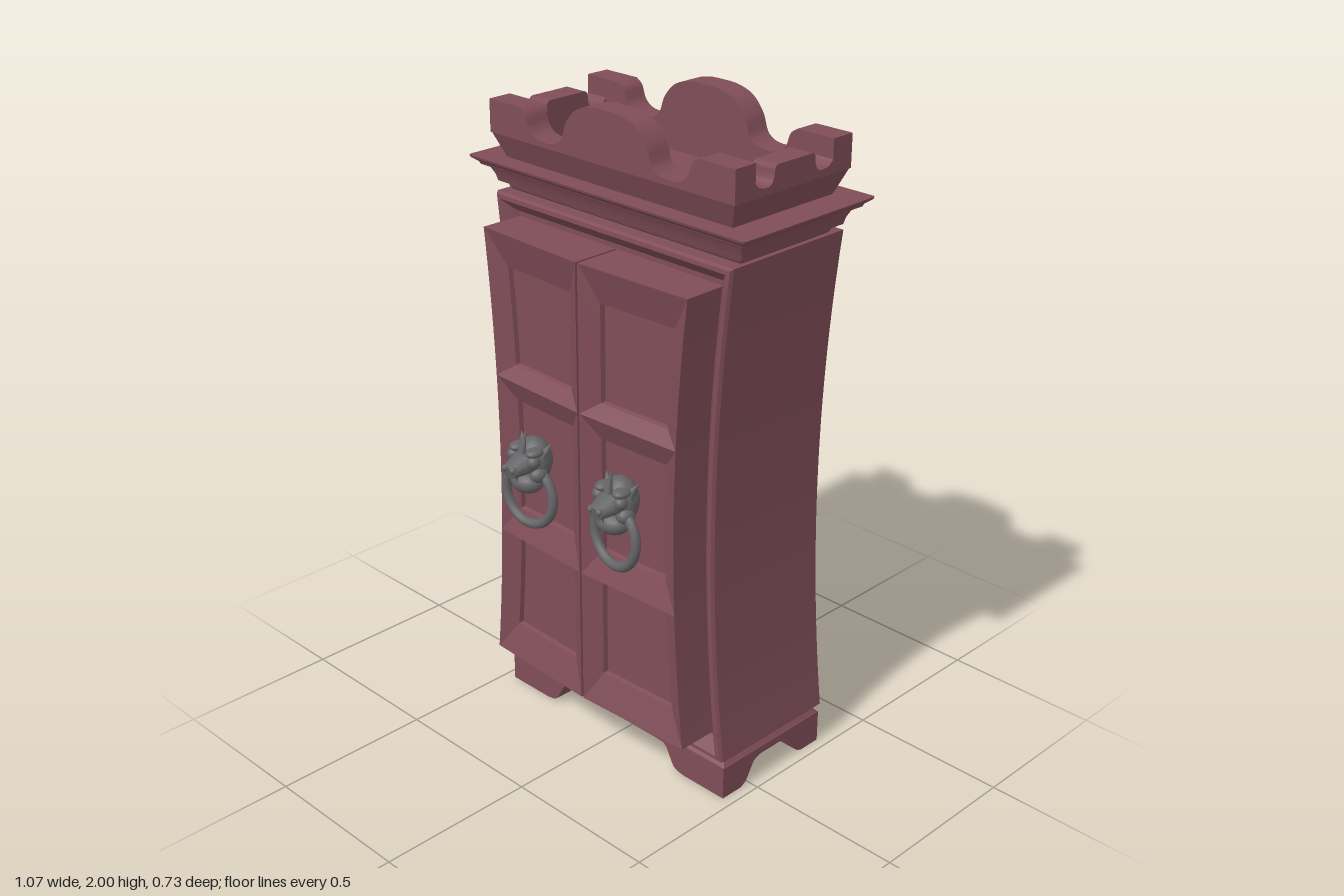
import * as THREE from 'three';
import { toCreasedNormals } from 'three/addons/utils/BufferGeometryUtils.js';

const wood = new THREE.MeshStandardMaterial({ color: 0x804d58 });
const iron = new THREE.MeshStandardMaterial({ color: 0x646466 });
const ZC = -0.1; // depth centre of the carcass

function add(parent, name, geo, mat = wood) {
  const mesh = new THREE.Mesh(geo, mat);
  mesh.name = name;
  parent.add(mesh);
  return mesh;
}

// Skin closed rings of equal length; each ring runs along one side and back along the other
function loft(rings, { start = false, end = false } = {}) {
  const pos = [];
  const quad = (a, b, c, d) => pos.push(...a, ...b, ...c, ...a, ...c, ...d);
  const m = rings[0].length;
  for (let k = 0; k < rings.length - 1; k++)
    for (let i = 0; i < m; i++) {
      const j = (i + 1) % m;
      quad(rings[k][i], rings[k][j], rings[k + 1][j], rings[k + 1][i]);
    }
  for (let i = 0; i < m / 2 - 1; i++) {
    const a = rings.at(-1), b = rings[0];
    if (end) quad(a[i], a[i + 1], a[m - 2 - i], a[m - 1 - i]);
    if (start) quad(b[m - 1 - i], b[m - 2 - i], b[i + 1], b[i]);
  }
  const geo = new THREE.BufferGeometry();
  geo.setAttribute('position', new THREE.Float32BufferAttribute(pos, 3));
  geo.computeVertexNormals();
  return toCreasedNormals(geo, 0.4);
}

// Horizontal rounded rectangle
function rectRing(hx, hz, y, r = 0.003) {
  const half = [];
  for (const s of [0, 1])
    for (let i = 0; i <= 4; i++) {
      const t = ((i / 4 + s) * Math.PI) / 2;
      half.push([hx - r + r * Math.sin(t), y, ZC + (s ? -1 : 1) * (hz - r) + r * Math.cos(t)]);
    }
  return [...half, ...half.map(([x, yy, z]) => [-x, yy, z]).reverse()];
}

// Upright outline between two side curves
function uprightRing(y0, y1, left, right, z, n = 12) {
  const ys = Array.from({ length: n + 1 }, (_, i) => y0 + ((y1 - y0) * i) / n);
  return [
    ...ys.map((y) => [right(y), y, z(right(y))]),
    ...ys.map((y) => [left(y), y, z(left(y))]).reverse(),
  ];
}

// Waisted half-width of the cabinet
const waist = (y) => 0.415 + 0.05 * ((y - 0.9) / 0.77) ** 2;

// Board with one straight edge and a mirrored, curved edge
function scallop(hw, yStraight, yEdge, curve, depth) {
  const pts = [...curve, ...curve.slice(0, -1).reverse().map(([x, y]) => [-x, y])];
  const spline = new THREE.SplineCurve(pts.map((p) => new THREE.Vector2(...p)));
  const shape = new THREE.Shape([
    new THREE.Vector2(-hw, yEdge), new THREE.Vector2(-hw, yStraight),
    new THREE.Vector2(hw, yStraight), new THREE.Vector2(hw, yEdge),
    ...spline.getPoints(64),
  ]);
  const geo = new THREE.ExtrudeGeometry(shape, { depth, bevelEnabled: false });
  geo.translate(0, 0, -depth);
  return toCreasedNormals(geo, 0.5);
}

// Four boards round a rectangle, outer faces flush with hx and hz
function surround(parent, name, hx, hz, front, side) {
  for (const s of [0, 1]) {
    const f = add(parent, name + (s ? 'Back' : 'Front'), front);
    f.rotation.y = s * Math.PI;
    f.position.z = ZC + (s ? -hz : hz);
    const e = add(parent, name + (s ? 'Right' : 'Left'), side);
    e.rotation.y = ((s ? -1 : 1) * Math.PI) / 2;
    e.position.set(s ? -hx : hx, 0, ZC);
  }
}

function makeDoor() {
  const door = new THREE.Group();
  const edge = (y) => waist(y) - 0.053;
  const front = (d) => (x) => 0.245 - 0.042 * x - d;
  const seam = () => 0.004;
  add(door, 'doorEdge', loft([
    uprightRing(0.2, 1.6, seam, edge, () => 0.07, 36),
    uprightRing(0.2, 1.6, seam, edge, front(0), 36),
  ]));
  // Each cell: ridge bottom and top, panel bottom and top
  for (const [y0, y1, p0, p1] of [[0.2, 0.635, 0.3, 0.615], [0.635, 1.15, 0.72, 1.08], [1.15, 1.6, 1.19, 1.49]]) {
    const inner = (g, d) => uprightRing(p0 + g, p1 - g, () => 0.06 + g, (y) => edge(y) - 0.058 - g, front(d));
    add(door, 'doorPanel', loft([
      uprightRing(y0, y1, seam, edge, front(0)),
      inner(0, 0.03), inner(0.003, 0.045),
    ], { end: true }));
  }
  return door;
}

function makeHandle() {
  const handle = new THREE.Group();
  handle.position.set(0.18, 0.93, 0.235);
  const ball = (name, p, s) => {
    const b = add(handle, name, new THREE.SphereGeometry(1, 16, 12), iron);
    b.position.set(...p);
    b.scale.set(...s);
  };
  const cone = (name, p, r, h, rx, rz = 0) => {
    const c = add(handle, name, new THREE.ConeGeometry(r, h, 8), iron);
    c.position.set(...p);
    c.rotation.set(rx, 0, rz);
  };
  // Beast head
  ball('skull', [0, 0.02, 0.02], [0.06, 0.07, 0.05]);
  ball('lowerJaw', [0, -0.042, 0.05], [0.055, 0.035, 0.045]);
  const snout = add(handle, 'snout', new THREE.CylinderGeometry(0.028, 0.058, 0.1, 12), iron);
  snout.position.set(0, 0.018, 0.073);
  snout.rotation.x = Math.PI / 2 + 0.2;
  snout.scale.z = 0.72;
  cone('crest', [0, 0.09, 0.06], 0.014, 0.075, -0.25);
  for (const s of [-1, 1]) {
    ball('eye', [s * 0.043, 0.035, 0.062], [0.02, 0.02, 0.02]);
    ball('brow', [s * 0.035, 0.06, 0.05], [0.024, 0.014, 0.03]);
    ball('nostril', [s * 0.016, 0.018, 0.118], [0.011, 0.011, 0.011]);
    ball('cheek', [s * 0.04, -0.012, 0.04], [0.026, 0.025, 0.03]);
    cone('ear', [s * 0.053, 0.065, 0.018], 0.018, 0.05, -0.3, -s * 0.5);
    cone('fang', [s * 0.02, -0.008, 0.108], 0.006, 0.025, Math.PI);
  }
  // Pull ring through the mouth
  const ring = add(handle, 'pullRing', new THREE.TorusGeometry(0.092, 0.015, 12, 40), iron);
  ring.position.set(0, -0.09, 0.042);
  ring.rotation.set(-0.06, -0.1, 0);
  return handle;
}

export function createModel() {
  const model = new THREE.Group();
  model.name = 'cabinet';

  // Waisted carcass with a raised, sloping front frame
  const body = (g, z) => uprightRing(0.13 + g, 1.67 - g, (y) => g - waist(y), (y) => waist(y) - g, () => z, 24);
  add(model, 'carcass', loft(
    [body(0, -0.322), body(0, 0.118), body(0.006, 0.128), body(0.018, 0.13), body(0.045, 0.105), body(0.055, 0.09)],
    { start: true, end: true }));

  // Footed plinth
  add(model, 'plinthRail', loft([
    rectRing(0.385, 0.135, 0.13, 0.06), rectRing(0.385, 0.135, 0.1, 0.06),
    rectRing(0.465, 0.215, 0.1), rectRing(0.445, 0.195, 0.132),
  ]));
  surround(model, 'plinth', 0.465, 0.215,
    scallop(0.465, 0.105, 0, [[0.3, 0], [0.265, 0.01], [0.245, 0.04], [0.225, 0.072], [0.19, 0.08], [0, 0.08]], 0.08),
    scallop(0.215, 0.105, 0, [[0.14, 0], [0.115, 0.012], [0.095, 0.045], [0.075, 0.072], [0.045, 0.08], [0, 0.08]], 0.08));

  // Stepped cornice
  const steps = [[0.445, 1.665], [0.455, 1.675], [0.46, 1.69], [0.48, 1.695], [0.485, 1.715],
    [0.495, 1.735], [0.515, 1.745], [0.518, 1.752], [0.535, 1.765], [0.537, 1.772]];
  add(model, 'cornice', loft(steps.map(([x, y]) => rectRing(x, x - 0.273, y, 0.008)), { start: true, end: true }));

  // Scalloped crown tray
  add(model, 'crownTray', loft([
    rectRing(0.44, 0.2, 1.77), rectRing(0.473, 0.231, 1.85),
    rectRing(0.397, 0.155, 1.85, 0.06), rectRing(0.397, 0.155, 1.785, 0.06),
  ], { end: true }));
  surround(model, 'crown', 0.473, 0.231,
    scallop(0.473, 1.845, 1.942, [[0.345, 1.942], [0.322, 1.925], [0.305, 1.885], [0.27, 1.863], [0.21, 1.863],
      [0.175, 1.885], [0.155, 1.935], [0.115, 1.978], [0.06, 1.997], [0, 2]], 0.077),
    scallop(0.231, 1.845, 1.942, [[0.17, 1.942], [0.162, 1.9], [0.14, 1.872], [0.1, 1.867], [0.083, 1.885],
      [0.076, 1.917], [0.04, 1.92], [0, 1.92]], 0.076));

  // Mirrored doors with their handles
  for (const s of [1, -1]) {
    const leaf = new THREE.Group();
    leaf.name = s > 0 ? 'leftDoor' : 'rightDoor';
    leaf.add(makeDoor(), makeHandle());
    leaf.scale.x = s;
    model.add(leaf);
  }
  return model;
}
